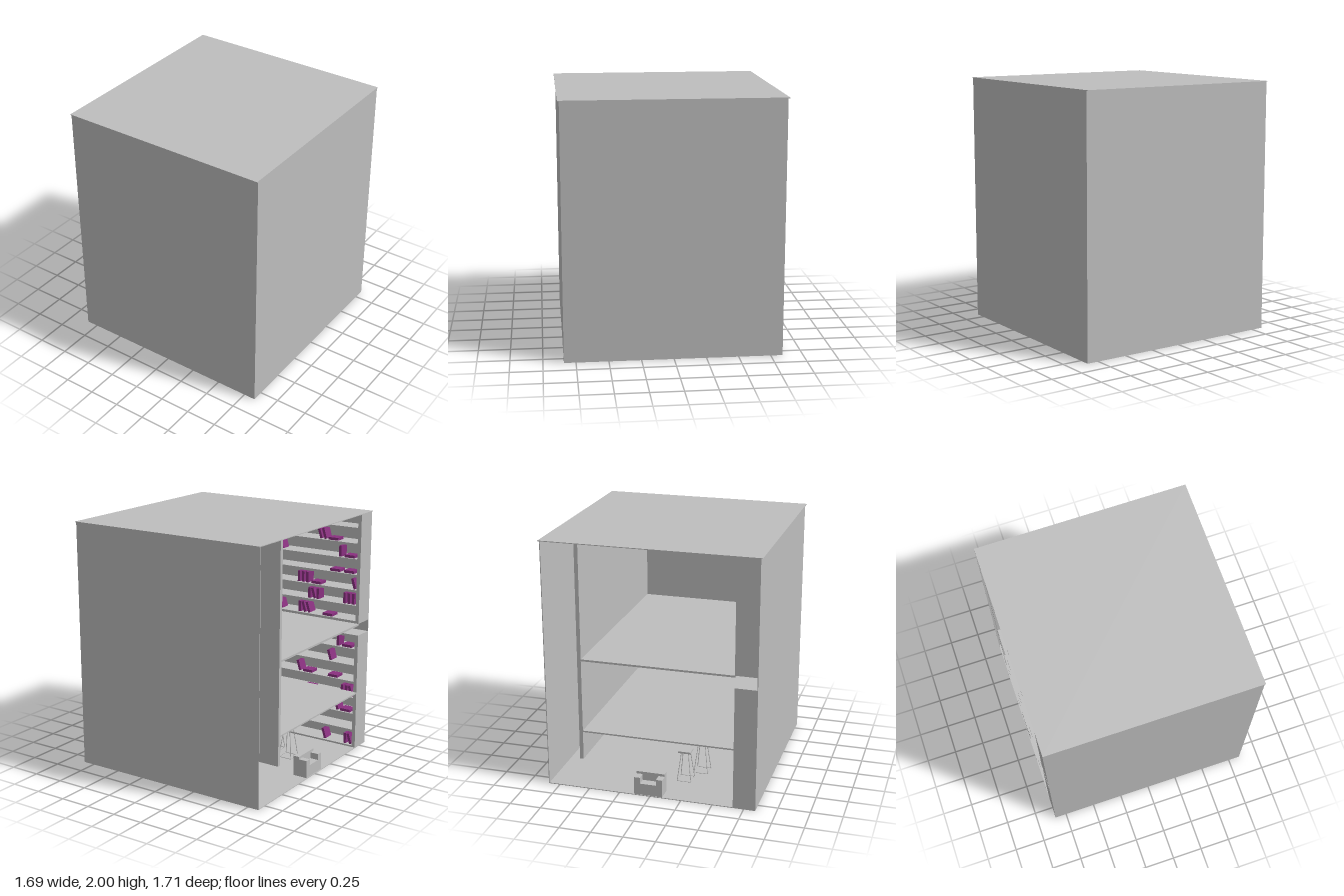
import * as THREE from 'three';

const mat = (name, color) => {
  const m = new THREE.MeshStandardMaterial({ color });
  m.name = name;
  return m;
};

export function createModel() {
  const model = new THREE.Group();
  model.name = 'libraryRoom';
  const grey = mat('plainGrey', 0xbebebe);
  const plum = mat('bookPlum', 0x8a3080);

  let seed = 7;
  const rand = () => (seed = (seed * 16807) % 2147483647) / 2147483647;

  // box given by its minimum and maximum corners
  const box = (name, x0, x1, y0, y1, z0, z1, parent = model) => {
    const mesh = new THREE.Mesh(new THREE.BoxGeometry(x1 - x0, y1 - y0, z1 - z0), grey);
    mesh.position.set((x0 + x1) / 2, (y0 + y1) / 2, (z0 + z1) / 2);
    mesh.name = name;
    parent.add(mesh);
    return mesh;
  };

  const X = 0.845, Z = 0.842, T = 0.006;

  // shell, open on the -x side
  box('floor', -X, X, 0, T, -Z, Z);
  box('roof', -X, X, 1.994, 2, -0.855, 0.855);
  box('frontWall', -X, X, 0, 1.994, Z - T, Z);
  box('backWall', -X, X, 0, 1.994, -Z, -Z + T);
  box('sideWall', X - T, X, 0, 1.994, -Z, Z);

  // inner levels and the hanging partition beside them
  box('upperFloor', -X, X - T, 1.075, 1.09, -0.54, 0.67);
  box('lowerPlatform', -X, X - T, 0.485, 0.497, -0.54, 0.67);
  box('partition', -X, X - T, 0.255, 1.994, -0.57, -0.54);

  // bookcase along the front wall, with scattered books
  const bookcase = (name, y0, y1) => {
    const g = new THREE.Group();
    g.name = name;
    model.add(g);
    const z0 = 0.665, z1 = Z - T, rows = 7, step = (y1 - y0) / rows;
    box('endPanelRight', -X, -X + 0.03, y0, y1, z0, z1, g);
    box('endPanelLeft', X - 0.036, X - T, y0, y1, z0, z1, g);
    for (let i = 0; i <= rows; i++) {
      const y = Math.min(y0 + i * step, y1 - 0.02);
      box('shelf', -X + 0.03, X - 0.036, y, y + 0.02, z0, z1, g);
      if (i === rows) continue;
      let x = -X + 0.05;
      while (x < 0.72) {
        const roll = rand();
        const book = new THREE.Mesh(new THREE.BoxGeometry(0.022, 0.09, 0.09), plum);
        book.name = 'book';
        if (roll < 0.35) {
          // upright or leaning book
          const lean = rand() < 0.5 ? 0 : -0.3;
          book.rotation.z = lean;
          book.position.set(x + 0.015, y + 0.067, z0 + 0.06);
          g.add(book);
          x += 0.04;
        } else if (roll < 0.5) {
          // book lying flat
          book.rotation.z = Math.PI / 2;
          book.position.set(x + 0.06, y + 0.032, z0 + 0.06);
          g.add(book);
          x += 0.13;
        } else x += 0.1 + 0.12 * rand();
      }
    }
  };
  bookcase('lowerBookcase', 0, 0.99);
  bookcase('upperBookcase', 1.09, 1.994);

  // thin rod between two points
  const rod = (a, b, parent) => {
    const dir = b.clone().sub(a);
    const mesh = new THREE.Mesh(new THREE.CylinderGeometry(0.003, 0.003, dir.length(), 6), grey);
    mesh.position.copy(a).addScaledVector(dir, 0.5);
    mesh.quaternion.setFromUnitVectors(new THREE.Vector3(0, 1, 0), dir.normalize());
    mesh.name = 'rod';
    parent.add(mesh);
  };

  // wire stools with splayed legs and a square base
  [[-0.48, 0.19], [-0.3, 0.28]].forEach(([x, z]) => {
    const g = new THREE.Group();
    g.name = 'stool';
    g.position.set(x, 0, z);
    model.add(g);
    const corner = (i, r, y) => {
      const a = Math.PI / 4 + i * Math.PI / 2;
      return new THREE.Vector3(r * Math.cos(a), y, r * Math.sin(a));
    };
    for (let i = 0; i < 4; i++) {
      rod(corner(i, 0.08, 0.01), corner(i + 1, 0.08, 0.01), g);
      rod(corner(i, 0.08, 0.01), corner(i, 0.04, 0.25), g);
    }
    box('seat', -0.05, 0.05, 0.25, 0.265, -0.05, 0.05, g);
  });

  // small seat with raised arms by the open side
  const seat = new THREE.Group();
  seat.name = 'armchair';
  model.add(seat);
  box('seatBase', -0.84, -0.72, T, 0.1, -0.13, 0.1, seat);
  box('seatBack', -0.77, -0.72, 0.1, 0.17, -0.13, 0.1, seat);
  box('armBack', -0.84, -0.77, 0.1, 0.15, -0.13, -0.08, seat);
  box('armFront', -0.84, -0.77, 0.1, 0.15, 0.05, 0.1, seat);

  return model;
}
